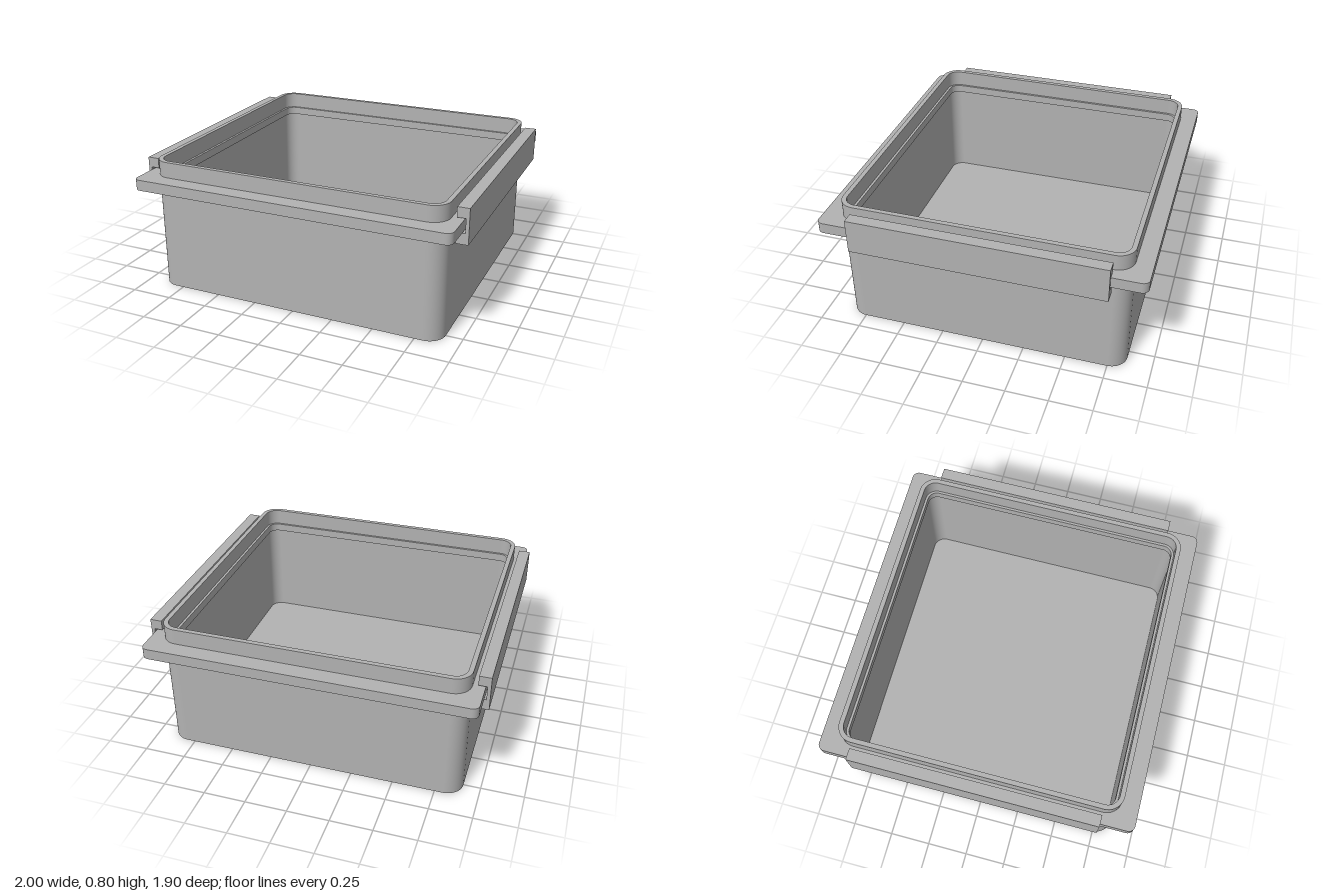
import * as THREE from 'three';

const grey = new THREE.MeshStandardMaterial({ color: 0xb2b2b2 });
grey.name = 'grey plastic';

// Rounded rectangle outline in the xz plane
function outline([hx, hz, r, y], steps = 10) {
  const points = [];
  for (let corner = 0; corner < 4; corner++) {
    const sx = corner === 0 || corner === 3 ? 1 : -1;
    const sz = corner < 2 ? 1 : -1;
    for (let i = 0; i <= steps; i++) {
      const a = (corner + i / steps) * Math.PI / 2;
      points.push([sx * (hx - r) + r * Math.cos(a), y, sz * (hz - r) + r * Math.sin(a)]);
    }
  }
  return points;
}

// Joins successive outlines [halfX, halfZ, radius, y]; each band is smooth around, sharp at its edges
function loft(name, sections) {
  const position = [], index = [];
  for (let s = 0; s < sections.length - 1; s++) {
    const low = outline(sections[s]), high = outline(sections[s + 1]);
    const n = low.length, base = position.length / 3;
    position.push(...low.flat(), ...high.flat());
    for (let i = 0; i < n; i++) {
      const a = base + i, b = base + (i + 1) % n;
      index.push(a, a + n, b, b, a + n, b + n);
    }
  }
  const geometry = new THREE.BufferGeometry();
  geometry.setAttribute('position', new THREE.Float32BufferAttribute(position, 3));
  geometry.setIndex(index);
  geometry.computeVertexNormals();
  const mesh = new THREE.Mesh(geometry, grey);
  mesh.name = name;
  return mesh;
}

// C-shaped rail that grips the flange along one side
function clip(name, side) {
  const profile = [[0.93, 0.565], [1, 0.565], [1, 0.775], [0.93, 0.775],
    [0.93, 0.715], [0.98, 0.715], [0.98, 0.63], [0.93, 0.63]];
  const shape = new THREE.Shape(profile.map(([x, y]) => new THREE.Vector2(side * x, y)));
  const geometry = new THREE.ExtrudeGeometry(shape, { depth: 1.5, bevelEnabled: false });
  geometry.translate(0, 0, -0.75);
  const mesh = new THREE.Mesh(geometry, grey);
  mesh.name = name;
  return mesh;
}

export function createModel() {
  const model = new THREE.Group();
  model.name = 'container';

  // Open tub: underside, outer wall, rim, inner ledge, inner wall, floor
  model.add(loft('tub', [
    [0, 0, 0, 0],
    [0.9, 0.85, 0.1, 0],
    [0.9, 0.85, 0.1, 0.8],
    [0.872, 0.822, 0.072, 0.8],
    [0.872, 0.822, 0.072, 0.7],
    [0.857, 0.807, 0.057, 0.7],
    [0.857, 0.807, 0.057, 0.65],
    [0.872, 0.822, 0.072, 0.65],
    [0.872, 0.822, 0.072, 0.03],
    [0, 0, 0, 0.03],
  ]));

  // Flange around the outside
  model.add(loft('flange', [
    [0.89, 0.84, 0.09, 0.64],
    [0.97, 0.95, 0.04, 0.64],
    [0.97, 0.95, 0.04, 0.705],
    [0.89, 0.84, 0.09, 0.705],
  ]));

  model.add(clip('leftClip', 1), clip('rightClip', -1));
  return model;
}
